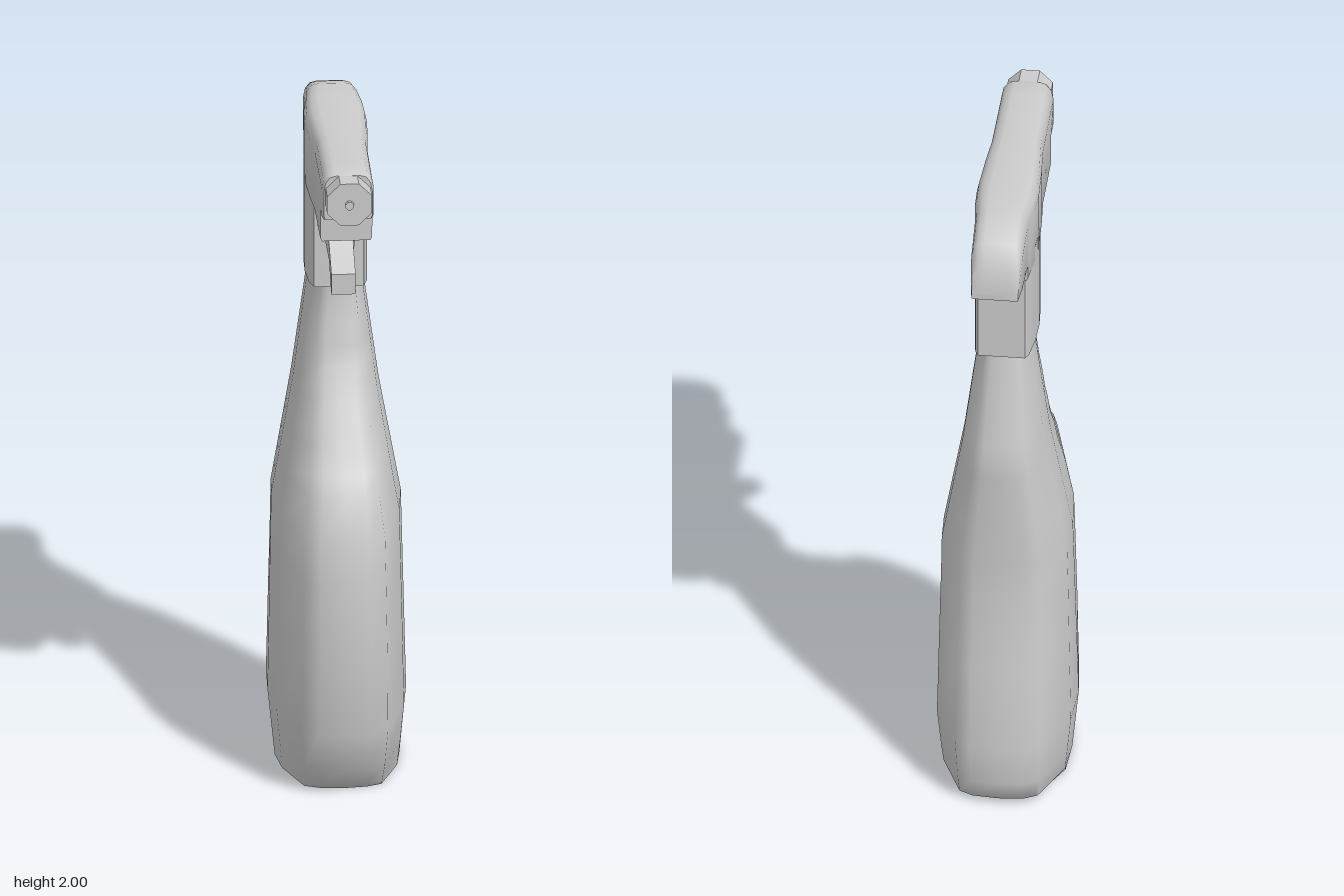
import * as THREE from 'three';
import { toCreasedNormals } from 'three/addons/utils/BufferGeometryUtils.js';

const material = new THREE.MeshStandardMaterial({ color: 0xcccccc });

// Skin a list of closed rings (arrays of [x, y, z]) and cap both ends.
function loft(rings, crease = 0.9) {
  const n = rings[0].length;
  const pos = rings.flat(2);
  const idx = [];
  for (let r = 0; r < rings.length - 1; r++) {
    for (let i = 0; i < n; i++) {
      const a = r * n + i, b = r * n + (i + 1) % n;
      idx.push(a, b, b + n, a, b + n, a + n);
    }
  }
  [0, rings.length - 1].forEach((r, end) => {
    const c = pos.length / 3;
    for (let k = 0; k < 3; k++) pos.push(rings[r].reduce((s, p) => s + p[k], 0) / n);
    for (let i = 0; i < n; i++) {
      const a = r * n + i, b = r * n + (i + 1) % n;
      idx.push(c, end ? a : b, end ? b : a);
    }
  });
  // Turn the faces outward if the rings ran the other way round
  const v = i => new THREE.Vector3().fromArray(pos, i * 3);
  let volume = 0;
  for (let i = 0; i < idx.length; i += 3) volume += v(idx[i]).dot(v(idx[i + 1]).cross(v(idx[i + 2])));
  if (volume < 0) idx.reverse();
  const g = new THREE.BufferGeometry();
  g.setAttribute('position', new THREE.Float32BufferAttribute(pos, 3));
  g.setIndex(idx);
  return toCreasedNormals(g, crease);
}

// Complete a right-hand outline [x, other] that starts and ends on the centre line.
const mirror = half => [...half, ...half.slice(1, -1).reverse().map(([x, t]) => [-x, t])];

// Piecewise-linear lookup in a list of [key, value]
function lookup(table, k) {
  for (let i = 1; i < table.length; i++) {
    const [a, va] = table[i - 1], [b, vb] = table[i];
    if (k <= b) return va + (vb - va) * (k - a) / (b - a);
  }
  return table[table.length - 1][1];
}

function bottleGeometry() {
  const section = mirror([[0, 1], [0.38, 0.97], [0.62, 0.9], [0.92, 0.36], [1, -0.04],
    [0.97, -0.47], [0.62, -0.92], [0.4, -0.98], [0, -1]]);
  const width = [[0, 0.18], [0.2, 0.2], [0.8, 0.187], [1.15, 0.124], [1.55, 0.07]];
  const back = [[0, -0.34], [0.02, -0.385], [0.11, -0.41], [0.2, -0.4], [0.45, -0.372], [0.68, -0.335],
    [0.92, -0.337], [1.15, -0.342], [1.37, -0.298], [1.55, -0.265]];
  // Front edge with the finger grips: [y, z]
  const front = [[0, 0.2], [0.02, 0.215], [0.08, 0.265], [0.2, 0.297], [0.45, 0.325], [0.68, 0.315],
    [0.8, 0.3], [0.92, 0.262], [0.98, 0.22], [1.035, 0.155], [1.1, 0.14], [1.15, 0.08],
    [1.21, 0.07], [1.25, 0.03], [1.31, 0.028], [1.37, 0], [1.55, 0]];
  return loft(front.map(([y, zf]) => {
    const w = lookup(width, y), zb = lookup(back, y), mid = -0.05 - 0.06 * y;
    return section.map(([x, t]) => [x * w, y, mid + (t > 0 ? t * (zf - mid) : -t * (zb - mid))]);
  }), 1.0);
}

// Barrel stations along its length: [z, half width, bottom, top]
function barrelGeometry() {
  const stations = [[0.385, 0.07, 1.86, 1.995], [0.37, 0.075, 1.855, 2], [0.31, 0.075, 1.855, 2],
    [0.309, 0.075, 1.76, 2], [0.1, 0.076, 1.76, 2], [0, 0.084, 1.76, 2], [-0.12, 0.09, 1.76, 2],
    [-0.2, 0.087, 1.76, 2], [-0.284, 0.077, 1.76, 2], [-0.285, 0.077, 1.8, 2],
    [-0.345, 0.075, 1.8, 1.982], [-0.4, 0.074, 1.8, 1.96], [-0.44, 0.07, 1.8, 1.9], [-0.452, 0.067, 1.8, 1.82]];
  return loft(stations.map(([z, w, b, t]) => {
    const r = Math.min(0.05, (t - b) * 0.4);
    return mirror([[0, b], [w * 0.93, b], [w, b + r * 0.2], [w, t - r], [w * 0.93, t - r * 0.45],
      [w * 0.75, t - r * 0.1], [w * 0.5, t], [0, t]]).map(([x, y]) => [x, y, z]);
  }));
}

function collarGeometry() {
  const outline = mirror([[0, 0.012], [0.072, 0.01], [0.084, -0.03], [0.09, -0.11], [0.088, -0.19],
    [0.078, -0.265], [0.068, -0.285], [0, -0.285]]);
  return loft([1.49, 1.82].map(y => outline.map(([x, z]) => [x, y, z])));
}

// Curved lever stations: [half width, upper z, upper y, lower z, lower y]
function triggerGeometry() {
  return loft([[0.062, 0, 1.775, 0, 1.7], [0.062, 0.03, 1.735, 0.03, 1.685], [0.042, 0.06, 1.7, 0.06, 1.65],
    [0.035, 0.1, 1.665, 0.1, 1.612], [0.035, 0.15, 1.635, 0.15, 1.575], [0.035, 0.2, 1.608, 0.2, 1.545]]
    .map(([w, zu, yu, zl, yl]) => [[w, yu, zu], [w, yl, zl], [-w, yl, zl], [-w, yu, zu]]));
}

// Round part pointing forward, from z0 to z1
function disc(radius, sides, z0, z1) {
  const g = new THREE.CylinderGeometry(radius, radius, z1 - z0, sides, 1, false, Math.PI / sides);
  g.rotateX(Math.PI / 2).translate(0, 1.93, (z0 + z1) / 2);
  return toCreasedNormals(g, 0.5);
}

export function createModel() {
  const model = new THREE.Group();
  model.name = 'sprayBottle';
  const parts = {
    bottle: bottleGeometry(),
    sprayHead: barrelGeometry(),
    neckCollar: collarGeometry(),
    trigger: triggerGeometry(),
    nozzleCap: disc(0.07, 8, 0.38, 0.445),
    nozzleTip: disc(0.013, 8, 0.44, 0.457),
  };
  for (const [name, geometry] of Object.entries(parts)) {
    const mesh = new THREE.Mesh(geometry, material);
    mesh.name = name;
    model.add(mesh);
  }
  return model;
}
